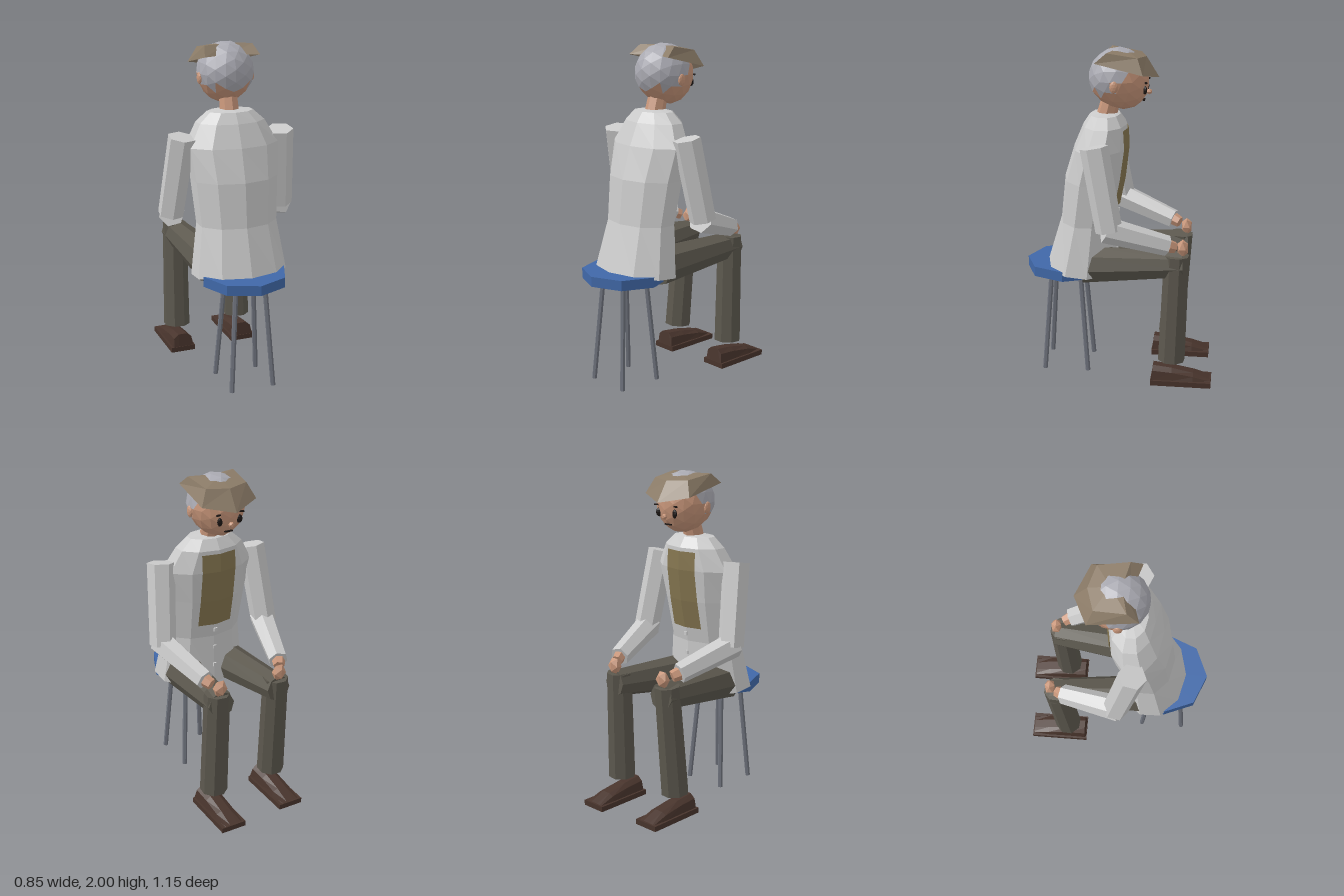
import * as THREE from 'three';

const mat = (color) => new THREE.MeshStandardMaterial({ color, flatShading: true, side: THREE.DoubleSide });
const V = (x, y, z) => new THREE.Vector3(x, y, z);

// Surface stitched between rings of equal point count
function loft(rings, closed = true) {
  const n = rings[0].length, index = [];
  for (let r = 0; r < rings.length - 1; r++) {
    for (let i = 0; i < (closed ? n : n - 1); i++) {
      const a = r * n + i, b = r * n + (i + 1) % n;
      index.push(a, b, a + n, b, b + n, a + n);
    }
  }
  const g = new THREE.BufferGeometry().setFromPoints(rings.flat());
  g.setIndex(index);
  g.computeVertexNormals();
  return g;
}

// Torso cross-sections: y, centre z, half depth, half width
const torso = [
  [0.67, 0.235, 0.21, 0.29], [0.97, 0.195, 0.165, 0.245], [1.23, 0.155, 0.178, 0.265],
  [1.42, 0.115, 0.16, 0.285], [1.55, 0.09, 0.13, 0.21], [1.61, 0.09, 0.09, 0.14], [1.62, 0.08, 0.05, 0.05],
];

// Front of the torso at height y, x away from the centre line
function chestPoint(x, y) {
  let i = 0;
  while (y > torso[i + 1][0]) i++;
  const t = (y - torso[i][0]) / (torso[i + 1][0] - torso[i][0]);
  const [cz, rz, rx] = [1, 2, 3].map((k) => THREE.MathUtils.lerp(torso[i][k], torso[i + 1][k], t));
  return V(x, y, cz - rz + 0.19 * rz * Math.abs(x) / (0.588 * rx) - 0.008);
}

export function createModel() {
  const model = new THREE.Group();
  const shirt = mat(0xcccccc), skin = mat(0xc8967a), hair = mat(0xaaaab2), trousers = mat(0x5c584e);
  const capMat = mat(0x8c7c68), dark = mat(0x1c1614), shoeMat = mat(0x48342c), steel = mat(0x6e727c);

  const add = (name, geometry, material, x = 0, y = 0, z = 0) => {
    const mesh = new THREE.Mesh(geometry, material);
    mesh.name = name;
    mesh.position.set(x, y, z);
    model.add(mesh);
    return mesh;
  };
  // Tapered prism from a to b
  const limb = (name, a, b, ra, rb, material, sides = 6) => {
    const d = b.clone().sub(a), c = a.clone().add(b).multiplyScalar(0.5);
    const mesh = add(name, new THREE.CylinderGeometry(rb, ra, d.length(), sides), material, c.x, c.y, c.z);
    mesh.quaternion.setFromUnitVectors(V(0, 1, 0), d.normalize());
    return mesh;
  };

  // Stool
  add('stoolSeat', new THREE.CylinderGeometry(0.255, 0.255, 0.06, 8), mat(0x4068a8), 0, 0.665, 0.32);
  for (const sx of [-1, 1]) for (const sz of [-1, 1]) {
    limb('stoolLeg', V(sx * 0.132, 0.002, 0.325 + sz * 0.135), V(sx * 0.09, 0.64, 0.325 + sz * 0.088), 0.015, 0.015, steel);
  }

  // Shirt, chest panel and buttons
  add('shirt', loft(torso.map(([y, cz, rz, rx]) => Array.from({ length: 10 }, (_, i) => {
    const a = i * Math.PI / 5;
    const lift = y < 0.7 ? 0.02 * Math.cos(a) : 0;
    return V(rx * Math.sin(a), y + lift, cz + rz * Math.cos(a));
  }))), shirt);
  add('chestPanel', loft([1.06, 1.23, 1.42, 1.53].map((y) => [0.11, 0, -0.11].map((x) => chestPoint(x, y))), false), mat(0x857650));
  for (const y of [0.78, 0.9, 1.02]) {
    const p = chestPoint(0, y);
    add('button', new THREE.BoxGeometry(0.022, 0.022, 0.01), shirt, p.x, p.y, p.z);
  }

  // Neck
  limb('neck', V(0, 1.59, 0.085), V(0, 1.72, 0.05), 0.06, 0.055, skin, 8);

  // Head: faceted ball split into hair and face
  const ball = new THREE.IcosahedronGeometry(1, 2);
  const p = ball.attributes.position;
  for (let i = 0; i < p.count; i++) {
    const y = p.getY(i), low = Math.max(0, -y);
    p.setXYZ(i, p.getX(i) * (0.168 - 0.015 * low), 1.82 + y * 0.18, 0.01 + p.getZ(i) * 0.178 - 0.03 * low * low);
  }
  const parts = { hair: [], face: [] };
  for (let i = 0; i < p.count; i += 3) {
    const tri = [0, 1, 2].map((k) => V().fromBufferAttribute(p, i + k));
    const c = tri[0].clone().add(tri[1]).add(tri[2]).divideScalar(3);
    const isHair = c.y > 1.92 || (c.y > 1.75 && c.z > 0.03) || (c.y > 1.83 && c.z > -0.03);
    parts[isHair ? 'hair' : 'face'].push(...tri);
  }
  for (const [name, points] of Object.entries(parts)) {
    const g = new THREE.BufferGeometry().setFromPoints(points);
    g.computeVertexNormals();
    add(name, g, name === 'hair' ? hair : skin);
  }

  // Ears, eyes, brows, nose and mouth
  for (const s of [-1, 1]) {
    add('ear', new THREE.IcosahedronGeometry(1, 1), skin, s * 0.162, 1.795, 0.02).scale.set(0.014, 0.036, 0.026);
    const eye = add('eye', new THREE.SphereGeometry(1, 8, 6), dark, s * 0.062, 1.765, -0.147);
    eye.scale.set(0.02, 0.026, 0.012);
    eye.rotation.y = s * 0.4;
    const brow = add('brow', new THREE.BoxGeometry(0.05, 0.008, 0.012), dark, s * 0.065, 1.808, -0.15);
    brow.rotation.y = s * 0.4;
  }
  add('nose', new THREE.IcosahedronGeometry(0.018, 0), skin, 0, 1.745, -0.167);
  add('mouth', new THREE.BoxGeometry(0.05, 0.007, 0.012), dark, 0, 1.698, -0.137);

  // Cap: sloping brim around a raised flat top
  const mirror = (front, side, rear, back) => {
    const flip = (v) => V(-v.x, v.y, v.z);
    return [front, side, rear, back, flip(rear), flip(side)];
  };
  const brim = mirror(V(0, 1.83, -0.225), V(0.175, 1.865, -0.145), V(0.168, 1.928, 0.132), V(0, 1.93, 0.08));
  const crown = mirror(V(0, 1.95, -0.15), V(0.13, 1.957, -0.11), V(0.147, 1.985, 0.065), V(0, 1.985, 0.03));
  const centre = Array(6).fill(V(0, 1.985, -0.03));
  add('cap', loft([brim, crown, centre]), capMat);

  for (const s of [-1, 1]) {
    // Arm resting on the knee
    const elbow = V(s * 0.35, 1.0, 0.025), wrist = V(s * 0.25, 0.89, -0.305);
    limb('upperArm', V(s * 0.305, 1.48, 0.115), elbow, 0.082, 0.078, shirt);
    limb('forearm', V(s * 0.352, 1.01, 0.05), wrist, 0.078, 0.06, shirt);
    limb('wrist', wrist, V(s * 0.23, 0.875, -0.345), 0.04, 0.034, skin);
    add('hand', new THREE.IcosahedronGeometry(1, 0), skin, s * 0.2, 0.86, -0.39).scale.set(0.045, 0.055, 0.036);

    // Leg: one foot sits slightly further forward
    const dz = s > 0 ? 0 : 0.03;
    limb('thigh', V(s * 0.15, 0.715, 0.2), V(s * 0.195, 0.757, -0.4), 0.118, 0.08, trousers, 8);
    limb('shin', V(s * 0.2, 0.815, -0.355), V(s * 0.212, 0.147, -0.335 + dz), 0.076, 0.083, trousers, 8);

    // Shoe: flat sole with an upper that slopes to the toe
    add('sole', new THREE.BoxGeometry(0.158, 0.032, 0.365), shoeMat, s * 0.21, 0.016, -0.395 + dz);
    const sections = [[-0.215, 0.07, 0.03], [-0.225, 0.068, 0.113], [-0.34, 0.066, 0.1], [-0.47, 0.068, 0.073], [-0.57, 0.06, 0.036]];
    add('shoeUpper', loft(sections.map(([z, w, h]) => [
      V(-w, 0.03, z), V(-w * 0.85, 0.03 + (h - 0.03) * 0.7, z), V(-w * 0.4, h, z),
      V(w * 0.4, h, z), V(w * 0.85, 0.03 + (h - 0.03) * 0.7, z), V(w, 0.03, z),
    ])), shoeMat, s * 0.21, 0, dz);
  }
  return model;
}
